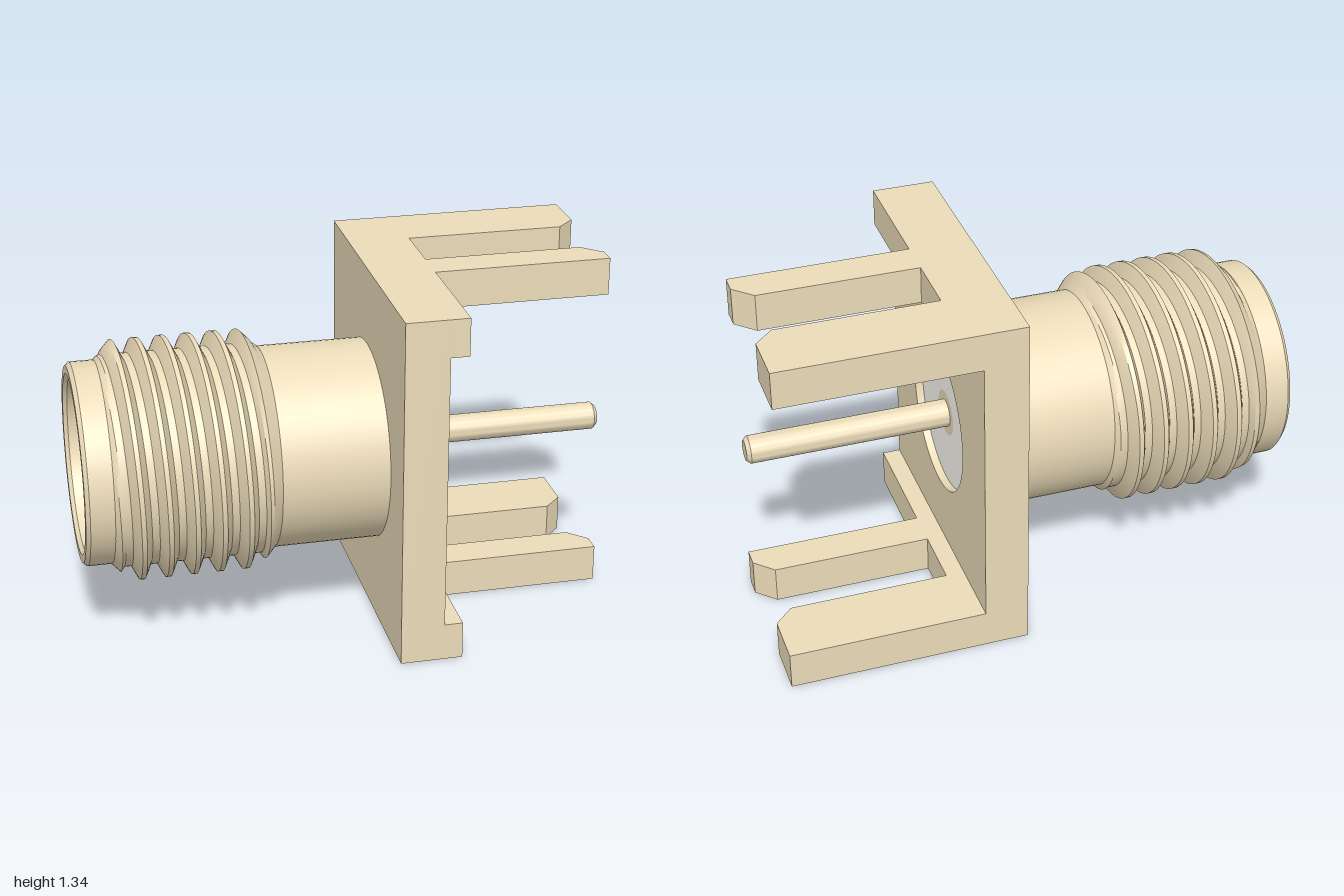
import * as THREE from 'three';
import { toCreasedNormals } from 'three/addons/utils/BufferGeometryUtils.js';

const AXIS_Y = 0.668, HEIGHT = 1.336, DEPTH = 0.555;
const brass = new THREE.MeshStandardMaterial({ color: 0xecdcb9 });
const white = new THREE.MeshStandardMaterial({ color: 0xfefdf6 });

function addMesh(parent, name, geometry, material = brass) {
  const mesh = new THREE.Mesh(geometry, material);
  mesh.name = name;
  parent.add(mesh);
  return mesh;
}

// Profile of [radius, x] points turned about the x axis; outer walls run towards +x
function turned(points) {
  const g = new THREE.LatheGeometry(points.map(([r, x]) => new THREE.Vector2(r, x)), 72);
  g.rotateZ(-Math.PI / 2);
  return toCreasedNormals(g, 0.4);
}

// Helical thread: a grid of helix-following rows, clipped by a cone at each end
function threadGeometry() {
  const pitch = 0.0965, x0 = -0.9, x1 = -0.29, root = 0.392, crest = 0.445, end = 0.372;
  const profile = [[-0.5, 0], [-0.36, 0], [-0.23, 0.5], [-0.09, 1], [0.09, 1], [0.23, 0.5], [0.36, 0]];
  const columns = 96, rows = [];
  for (let k = -3; k <= 6; k++) {
    for (const [t, h] of profile) rows.push([-0.735 + (k + t) * pitch, root + (crest - root) * h]);
  }
  const positions = [], index = [];
  for (let i = 0; i <= columns; i++) {
    const turn = i / columns, a = turn * Math.PI * 2;
    for (const [rowX, rowR] of rows) {
      const x = THREE.MathUtils.clamp(rowX + turn * pitch, x0, x1);
      const r = Math.min(rowR, end + (x - x0) * 1.05, end + (x1 - x) * 1.05);
      positions.push(x, r * Math.cos(a), r * Math.sin(a));
    }
  }
  const n = rows.length;
  for (let i = 0; i < columns; i++) {
    for (let j = 0; j < n - 1; j++) {
      const a = i * n + j, b = a + n;
      index.push(a, b, a + 1, b, b + 1, a + 1);
    }
  }
  const g = new THREE.BufferGeometry();
  g.setAttribute('position', new THREE.Float32BufferAttribute(positions, 3));
  g.setIndex(index);
  return toCreasedNormals(g, 0.4);
}

// Mounting plate with the round opening
function plateGeometry() {
  const s = new THREE.Shape();
  s.moveTo(-DEPTH, 0);
  s.lineTo(DEPTH, 0);
  s.lineTo(DEPTH, HEIGHT);
  s.lineTo(-DEPTH, HEIGHT);
  s.closePath();
  s.holes.push(new THREE.Path().absarc(0, AXIS_Y, 0.296, 0, Math.PI * 2, true));
  const g = new THREE.ExtrudeGeometry(s, { depth: 0.163, bevelEnabled: false, curveSegments: 72 });
  g.rotateY(Math.PI / 2);
  g.translate(0.102, 0, 0);
  return toCreasedNormals(g, 0.4);
}

// Flange with a wide and a narrow leg, outlined in x and z
function flangeGeometry() {
  const outline = [
    [0.265, DEPTH], [0.334, DEPTH], [0.334, 0.088], [1, 0.088], [1, 0.016], [0.93, -0.054],
    [0.334, -0.054], [0.334, -0.292], [0.93, -0.292], [1, -0.362], [1, -DEPTH], [0.265, -DEPTH],
  ];
  const s = new THREE.Shape(outline.map(([x, z]) => new THREE.Vector2(x, -z)));
  const g = new THREE.ExtrudeGeometry(s, { depth: 0.142, bevelEnabled: false });
  g.rotateX(-Math.PI / 2);
  return g;
}

export function createModel() {
  const model = new THREE.Group();
  model.name = 'coaxialEdgeConnector';

  // Mounting bracket
  const bracket = new THREE.Group();
  bracket.name = 'bracket';
  model.add(bracket);
  addMesh(bracket, 'plate', plateGeometry());
  const flange = flangeGeometry();
  addMesh(bracket, 'lowerFlange', flange);
  addMesh(bracket, 'upperFlange', flange).position.y = HEIGHT - 0.142;

  // Parts turned about the connector axis
  const coax = new THREE.Group();
  coax.name = 'coaxialBody';
  coax.position.y = AXIS_Y;
  model.add(coax);

  // Barrel with a shoulder around the insulator at the bottom of its mouth
  addMesh(coax, 'barrel', turned([
    [0.28, -0.74], [0.32, -0.74], [0.32, -0.985], [0.333, -1],
    [0.362, -1], [0.376, -0.985], [0.376, 0.102],
  ]));
  addMesh(coax, 'thread', threadGeometry());

  // Insulator, set slightly back from the plate face
  addMesh(coax, 'insulator', turned([
    [0.088, -0.74], [0.28, -0.74], [0.28, 0.1], [0.296, 0.1], [0.296, 0.235], [0.088, 0.235],
  ]), white);

  // Centre contact: bored socket at one end, solder pin at the other
  addMesh(coax, 'centreContact', turned([
    [0, -0.45], [0.058, -0.45], [0.058, -0.76], [0.066, -0.77], [0.088, -0.77],
    [0.088, 0.235], [0.052, 0.235], [0.052, 0.985], [0.039, 1], [0, 1],
  ]));

  return model;
}
